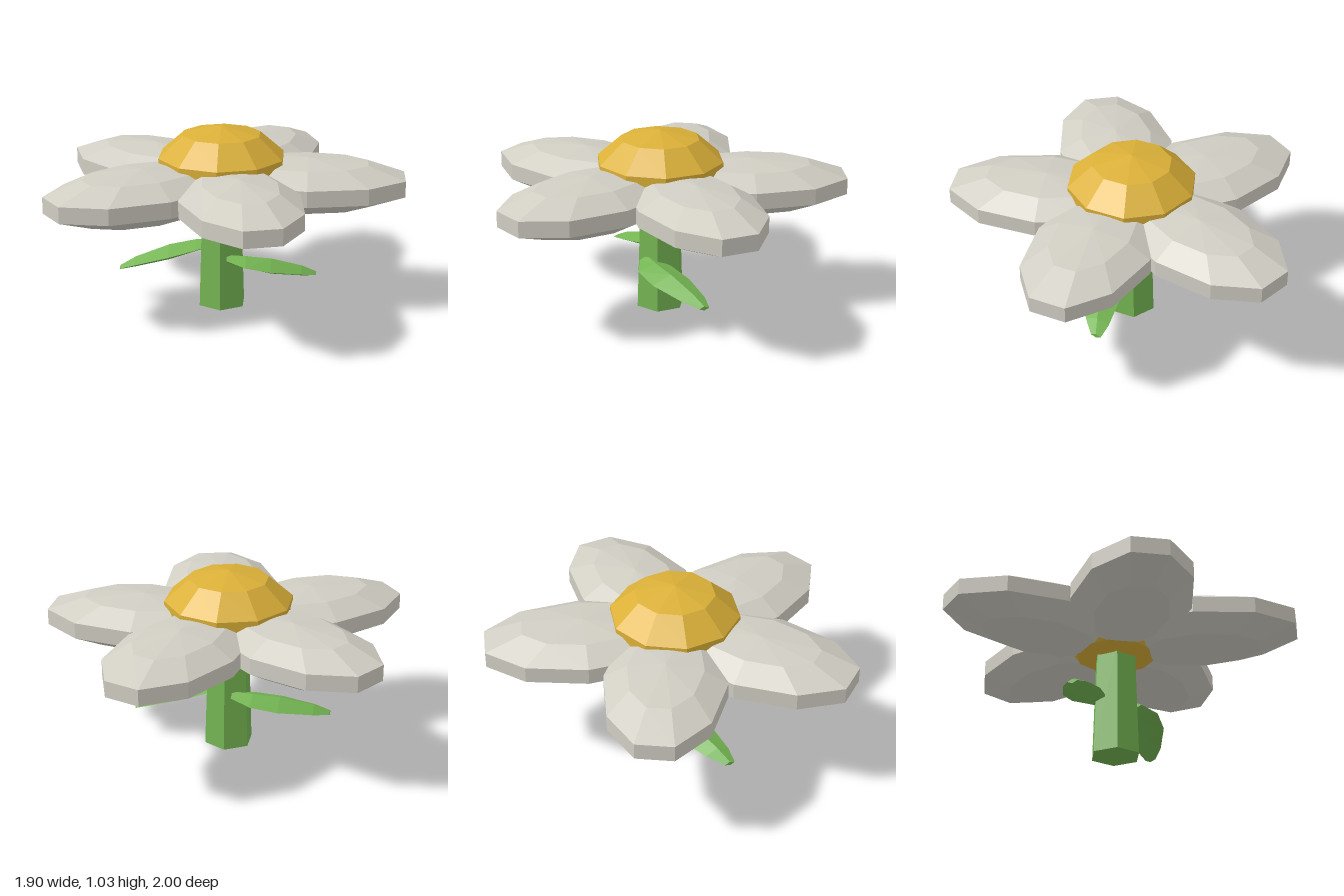
import * as THREE from 'three';

const material = (name, color) => {
  const m = new THREE.MeshStandardMaterial({ color, flatShading: true });
  m.name = name;
  return m;
};

// Leaf lofted from diamond sections: [x, y, z, half width, half thickness]
function leafGeometry() {
  const sections = [
    [0.035, 0.293, 0.095, 0.045, 0.022],
    [0.14, 0.272, 0.09, 0.1, 0.035],
    [0.28, 0.24, 0.055, 0.11, 0.045],
    [0.45, 0.198, 0.0, 0.07, 0.03],
    [0.53, 0.172, -0.03, 0.03, 0.012],
  ];
  const positions = [];
  const index = [];
  sections.forEach(([x, y, z, w, t], i) => {
    positions.push(x, y + t, z, x, y, z + w, x, y - t, z, x, y, z - w);
    if (i === sections.length - 1) return;
    for (let j = 0; j < 4; j++) {
      const a = i * 4 + j, b = i * 4 + (j + 1) % 4;
      index.push(a, b, a + 4, b, b + 4, a + 4);
    }
  });
  const e = (sections.length - 1) * 4;
  index.push(0, 2, 1, 0, 3, 2, e, e + 1, e + 2, e, e + 2, e + 3);
  const g = new THREE.BufferGeometry();
  g.setAttribute('position', new THREE.Float32BufferAttribute(positions, 3));
  g.setIndex(index);
  g.computeVertexNormals();
  return g;
}

export function createModel() {
  const model = new THREE.Group();
  model.name = 'flower';
  const petalWhite = material('petalWhite', 0xd0cdc3);
  const gold = material('gold', 0xdbb038);
  const green = material('leafGreen', 0x74b552);

  const flower = new THREE.Group();
  flower.name = 'flowerAxis';
  flower.position.x = -0.055;
  model.add(flower);
  const add = (name, geometry, mat) => {
    const mesh = new THREE.Mesh(geometry, mat);
    mesh.name = name;
    flower.add(mesh);
    return mesh;
  };

  // Tapered six-sided stem
  add('stem', new THREE.CylinderGeometry(0.119, 0.14, 0.62, 6), green).position.y = 0.31;

  // Domed ten-sided centre
  const ball = new THREE.SphereGeometry(1, 10, 5).rotateY(Math.PI / 10);
  const centre = add('flowerCentre', ball, gold);
  centre.scale.set(0.373, 0.24, 0.373);
  centre.position.y = 0.79;

  // Five flattened petals: angle in degrees, distance from the axis
  const petals = [[0, 0.475], [69.8, 0.5], [146, 0.475], [-144.8, 0.5], [-74.3, 0.475]];
  for (const [degrees, distance] of petals) {
    const a = THREE.MathUtils.degToRad(degrees);
    const petal = add('petal', ball, petalWhite);
    petal.scale.set(0.557 / 0.951, 0.145, 0.342);
    petal.rotation.y = a;
    petal.position.set(distance * Math.cos(a), 0.715, -distance * Math.sin(a));
  }

  // Two drooping leaves on opposite sides of the stem
  const leaf = leafGeometry();
  add('leftLeaf', leaf, green);
  const rightLeaf = add('rightLeaf', leaf, green);
  rightLeaf.rotation.y = Math.PI;
  rightLeaf.scale.x = 1.08;
  rightLeaf.position.y = 0.032;

  return model;
}
